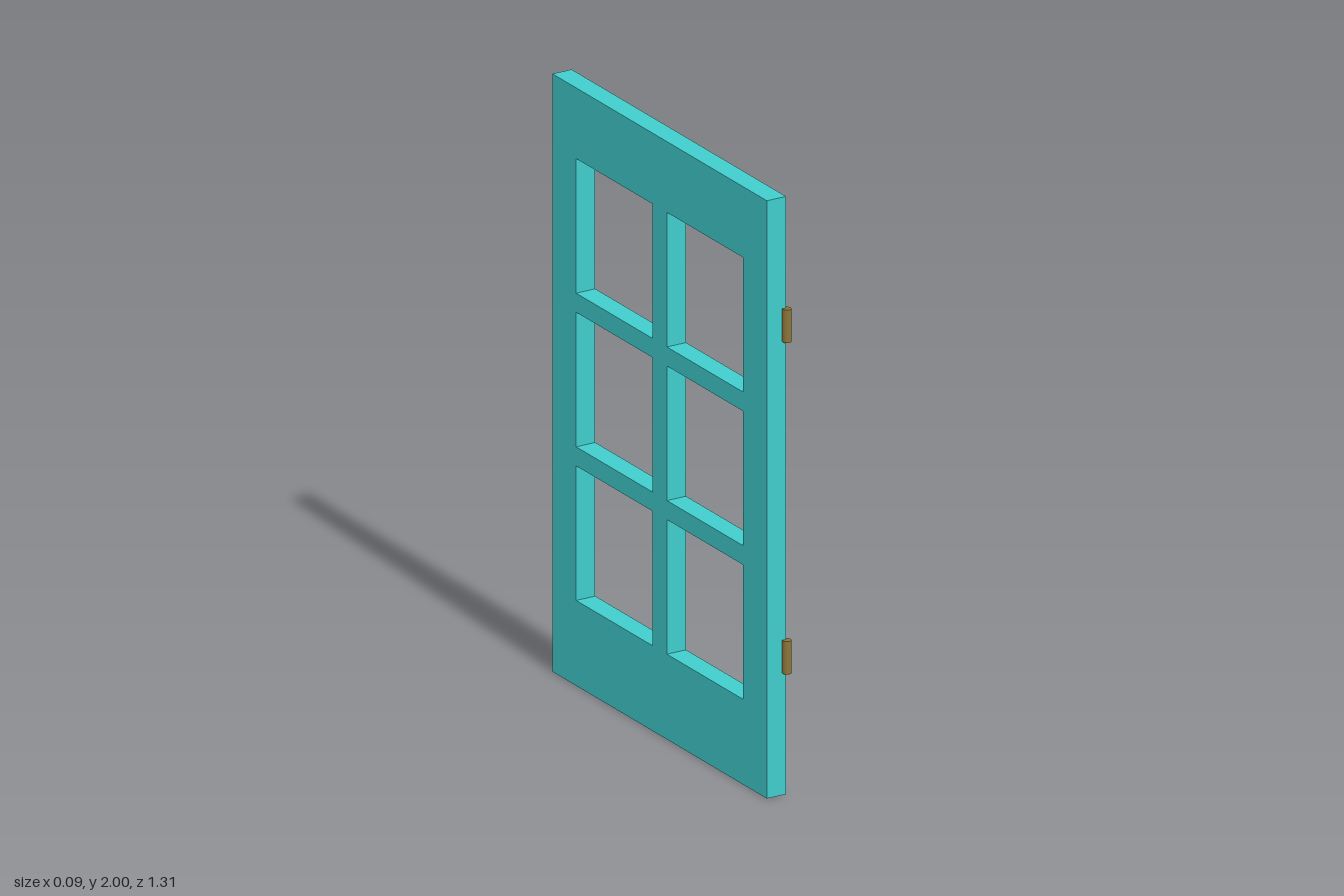
import * as THREE from 'three';

// Closed rectangle path, written into a Shape or a Path
function rect(path, x0, y0, x1, y1) {
  path.moveTo(x0, y0);
  path.lineTo(x1, y0);
  path.lineTo(x1, y1);
  path.lineTo(x0, y1);
  path.closePath();
  return path;
}

export function createModel() {
  const model = new THREE.Group();
  model.name = 'panedDoor';

  const paint = new THREE.MeshStandardMaterial({ color: 0x40cccc });
  const brass = new THREE.MeshStandardMaterial({ color: 0x8c7538 });

  // Door leaf with two columns and three rows of open panes
  const halfWidth = 0.633, back = -0.043, front = 0.027;
  const pane = 0.45, paneInner = 0.043, paneBottom = 0.285, rowStep = 0.514;
  const outline = rect(new THREE.Shape(), -halfWidth, 0, halfWidth, 2);
  for (let row = 0; row < 3; row++) {
    const y = paneBottom + row * rowStep;
    for (const x of [-paneInner - pane, paneInner]) {
      outline.holes.push(rect(new THREE.Path(), x, y, x + pane, y + pane));
    }
  }
  const leafGeometry = new THREE.ExtrudeGeometry(outline, { depth: front - back, bevelEnabled: false });
  leafGeometry.rotateY(Math.PI / 2); // width along z, thickness along x
  leafGeometry.translate(back, 0, 0);
  const leaf = new THREE.Mesh(leafGeometry, paint);
  leaf.name = 'doorLeaf';
  model.add(leaf);

  // Hinge barrels on both edges
  const barrel = new THREE.CylinderGeometry(0.015, 0.015, 0.11, 16);
  for (const side of [1, -1]) {
    for (const [level, y] of [['lower', 0.463], ['upper', 1.572]]) {
      const hinge = new THREE.Mesh(barrel, brass);
      hinge.name = `${level}${side > 0 ? 'Front' : 'Back'}Hinge`;
      hinge.position.set(front, y, side * 0.638);
      model.add(hinge);
    }
  }

  return model;
}
